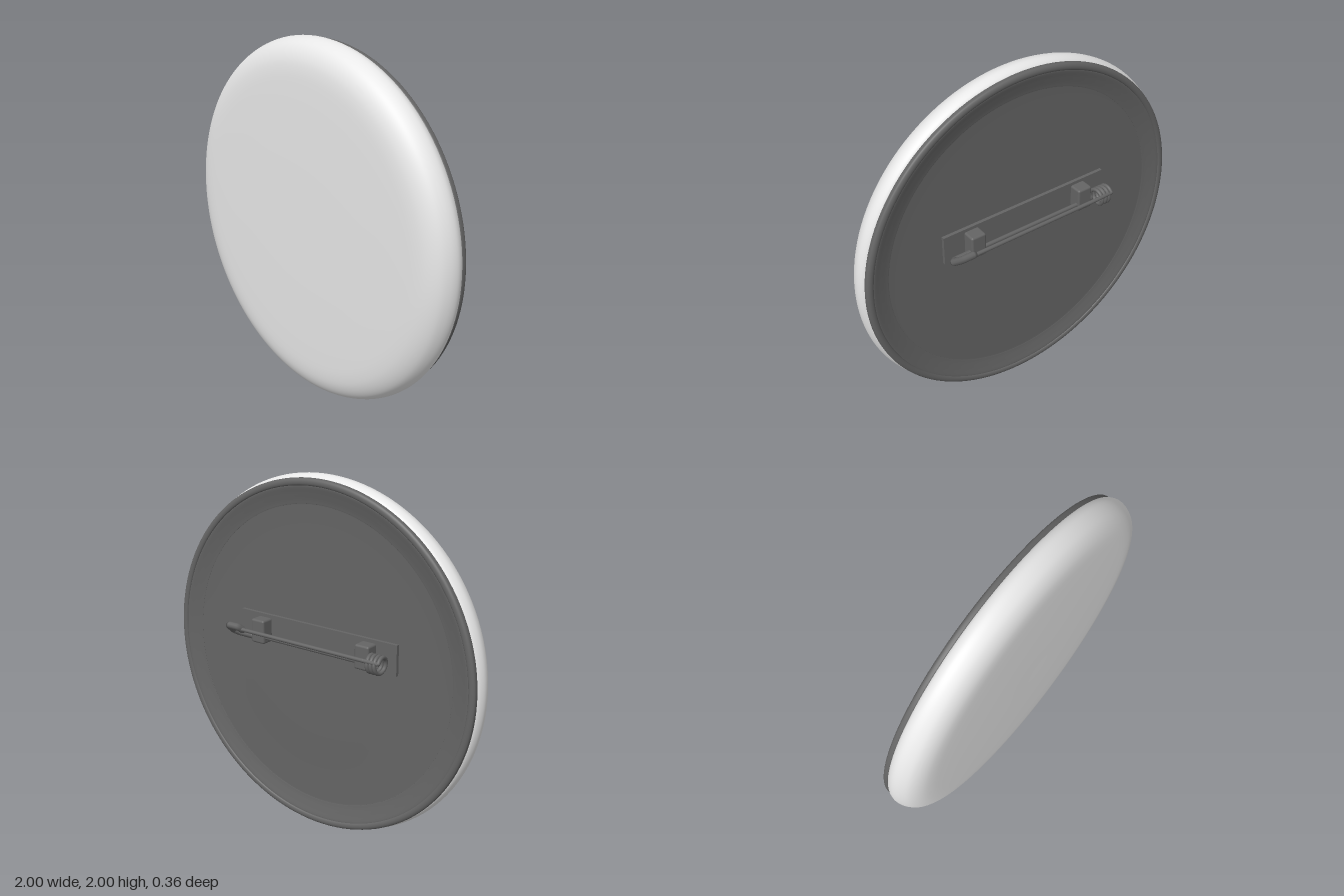
import * as THREE from 'three';
import { RoundedBoxGeometry } from 'three/addons/geometries/RoundedBoxGeometry.js';

const shellMat = new THREE.MeshStandardMaterial({ color: 0xececec });
shellMat.name = 'pale shell';
const metalMat = new THREE.MeshStandardMaterial({ color: 0x646464 });
metalMat.name = 'dark metal';

const CY = 1; // height of the disc centre

export function createModel() {
  const model = new THREE.Group();
  model.name = 'pinBackButton';

  const add = (name, geometry, material, x = 0, y = 0, z = 0) => {
    const mesh = new THREE.Mesh(geometry, material);
    mesh.name = name;
    mesh.position.set(x, y, z);
    model.add(mesh);
    return mesh;
  };

  // Turns a [radius, z] profile (back to front) about the z axis
  const turned = (profile, samples) => {
    const pts = profile.map(([r, z]) => new THREE.Vector2(r, z));
    const curve = new THREE.SplineCurve(pts);
    const smooth = curve.getPoints(samples);
    smooth.forEach((p) => { p.x = Math.max(0, p.x); });
    return new THREE.LatheGeometry(smooth, 128).rotateX(Math.PI / 2);
  };

  // Domed front shell, rolling over the edge
  add('frontShell', turned([
    [0.95, -0.013], [0.975, -0.01], [0.992, 0.008], [1, 0.04], [0.99, 0.08], [0.963, 0.12],
    [0.915, 0.15], [0.85, 0.166], [0.74, 0.172], [0.5, 0.176], [0.25, 0.178], [0, 0.178],
  ], 66), shellMat, 0, CY);

  // Recessed back pan, sloping up to the rim
  add('backPan', turned([
    [0, -0.01], [0.4, -0.01], [0.8, -0.01], [0.85, -0.013], [0.9, -0.024], [0.94, -0.034], [0.955, -0.03],
  ], 48), metalMat, 0, CY);

  // Rounded rim bead around the back
  add('backRim', turned([
    [0.942, -0.02], [0.945, -0.036], [0.956, -0.042], [0.97, -0.041], [0.981, -0.033],
    [0.983, -0.02], [0.98, -0.008], [0.965, -0.004],
  ], 32), metalMat, 0, CY);

  // Mounting plate and the two blocks that grip the wire
  add('mountingPlate', new THREE.BoxGeometry(1.04, 0.17, 0.022), metalMat, 0, 1.11, -0.018);
  for (const [name, x] of [['claspBlock', 0.35], ['coilBlock', -0.348]]) {
    add(name, new RoundedBoxGeometry(0.09, 0.135, 0.08, 2, 0.012), metalMat, x, 1.11, -0.06);
  }

  // Wires are tubes with round end caps
  const v = (x, y, z) => new THREE.Vector3(x, y, z);
  const wire = (name, curve, radius, segments) => {
    add(name, new THREE.TubeGeometry(curve, segments, radius, 10), metalMat);
    for (const t of [0, 1]) {
      const p = curve.getPoint(t);
      add(name + 'End', new THREE.SphereGeometry(radius, 10, 8), metalMat, p.x, p.y, p.z);
    }
  };
  wire('fixedWire', new THREE.LineCurve3(v(-0.4, 1.08, -0.08), v(0.42, 1.08, -0.08)), 0.012, 1);
  wire('pinWire', new THREE.LineCurve3(v(-0.4, 1.125, -0.157), v(0.44, 1.125, -0.157)), 0.011, 1);

  // Spring coil between the two wires
  const coil = [];
  const turns = 3.5;
  const steps = 56;
  const start = Math.atan2(-0.022, 0.038);
  for (let i = 0; i <= steps; i++) {
    const a = start + (i / steps) * turns * Math.PI * 2;
    coil.push(v(-0.41 - 0.08 * (i / steps), 1.102 + 0.044 * Math.sin(a), -0.112 + 0.044 * Math.cos(a)));
  }
  wire('springCoil', new THREE.CatmullRomCurve3(coil), 0.011, 150);
  wire('coilLead', new THREE.LineCurve3(v(-0.485, 1.122, -0.151), v(-0.4, 1.125, -0.157)), 0.011, 1);

  // Angular clasp hook, leaning upward away from the plate
  const hook = [
    [0.4, 1.075, -0.08], [0.49, 1.075, -0.08], [0.515, 1.092, -0.107],
    [0.5, 1.137, -0.164], [0.43, 1.137, -0.164], [0.42, 1.12, -0.145],
  ].map((p) => v(...p));
  const path = new THREE.CurvePath();
  for (let i = 1; i < hook.length; i++) path.add(new THREE.LineCurve3(hook[i - 1], hook[i]));
  wire('claspHook', path, 0.02, 40);

  return model;
}
